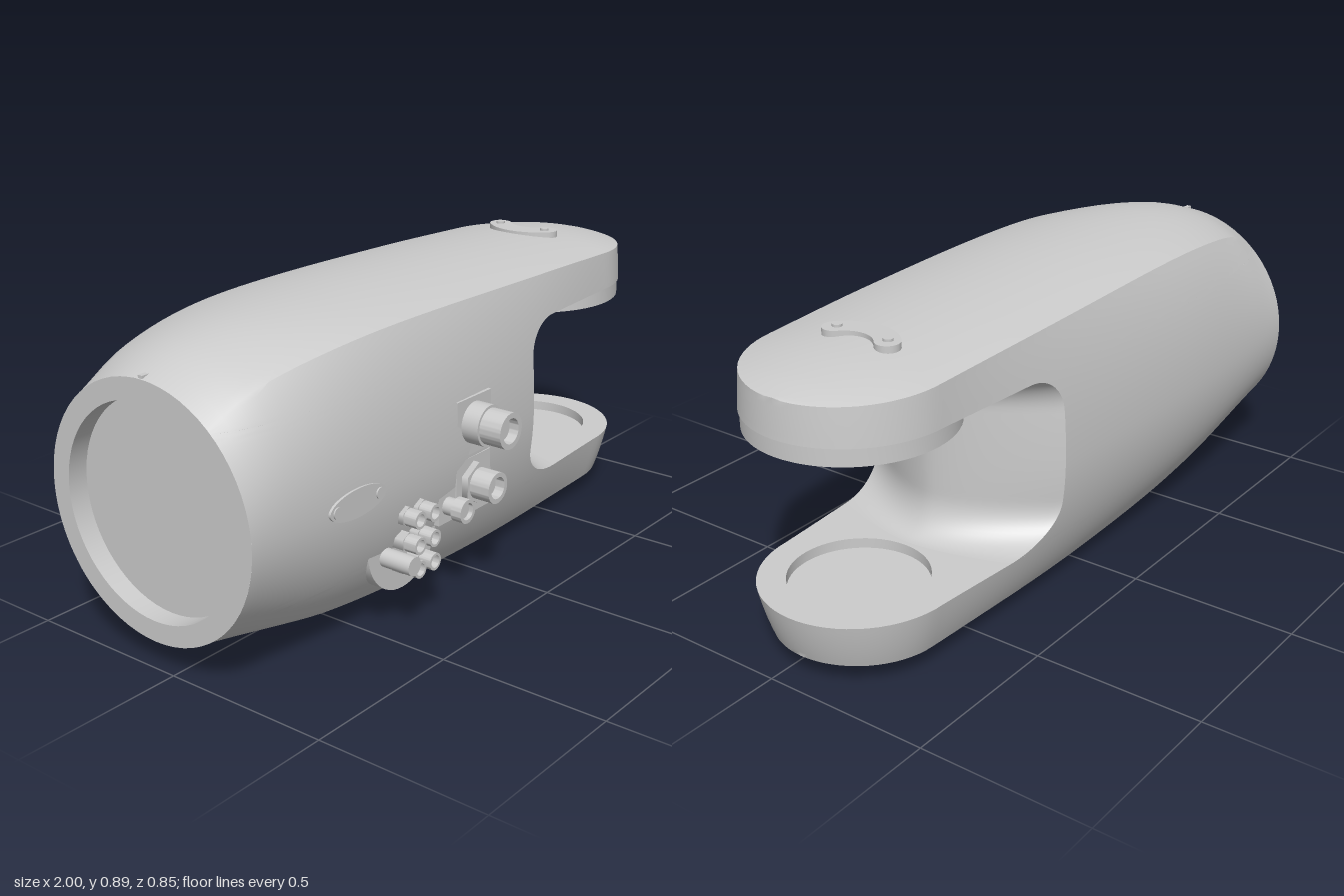
import * as THREE from 'three';
import { toCreasedNormals, mergeGeometries } from 'three/addons/utils/BufferGeometryUtils.js';

const CZ = -0.06, MID = 0.44, FLOOR = 0.2, ROOF = 0.71, PIVOT = 0.7;
const NA = 36, NB = 16, N = NA + NB;
const { lerp } = THREE.MathUtils;

// Smooth 1D curve through [x, value] pairs
function curve(...p) {
  const slope = i => {
    const a = p[Math.max(i - 1, 0)], b = p[Math.min(i + 1, p.length - 1)];
    return (b[1] - a[1]) / (b[0] - a[0]);
  };
  return x => {
    let i = 0;
    while (i < p.length - 2 && x > p[i + 1][0]) i++;
    const h = p[i + 1][0] - p[i][0], t = Math.min(Math.max((x - p[i][0]) / h, 0), 1);
    const t2 = t * t, t3 = t2 * t;
    return (2 * t3 - 3 * t2 + 1) * p[i][1] + (t3 - 2 * t2 + t) * h * slope(i)
      + (3 * t2 - 2 * t3) * p[i + 1][1] + (t3 - t2) * h * slope(i + 1);
  };
}

// Barrel section along x: silhouettes, edge heights and half widths
const topLine = curve([-1, 0.8], [-0.85, 0.85], [-0.65, 0.88], [-0.3, 0.89], [0.1, 0.885], [0.5, 0.873], [0.75, 0.86], [0.9, 0.84], [1, 0.815]);
const topEdge = curve([-1, 0.72], [-0.85, 0.785], [-0.6, 0.83], [-0.3, 0.845], [0.3, 0.837], [0.7, 0.825], [1, 0.814]);
const lowEdge = curve([-1, 0.17], [-0.6, 0.085], [0, 0.05], [0.6, 0.055], [0.95, 0.066]);
const lowLine = curve([-1, 0.08], [-0.75, 0.042], [-0.5, 0.02], [0, 0], [0.6, 0.02], [0.85, 0.045], [0.95, 0.066]);
const midHalf = curve([-1, 0.36], [-0.4, 0.367], [0.2, 0.345], [0.7, 0.3]);
const topHalf = curve([-1, 0.225], [-0.6, 0.28], [-0.2, 0.295], [0.3, 0.295], [0.7, 0.285]);
const lowHalf = curve([-1, 0.238], [-0.4, 0.25], [0.2, 0.25], [0.7, 0.24]);

function halfWidth(x, y) {
  const up = y > MID, W = midHalf(x);
  const t = (y - MID) / ((up ? topEdge(x) : lowEdge(x)) - MID);
  const k = 1 - ((up ? topHalf(x) : lowHalf(x)) / W) ** 2;
  return W * Math.sqrt(Math.max(1 - k * t * t, 0));
}

// Surface from a rule on a grid; du x dv points outward
function grid(nu, nv, rule) {
  const pos = [], idx = [];
  for (let v = 0; v <= nv; v++) for (let u = 0; u <= nu; u++) pos.push(...rule(u, v));
  for (let v = 0; v < nv; v++) for (let u = 0; u < nu; u++) {
    const a = v * (nu + 1) + u, d = a + nu + 1;
    idx.push(a, a + 1, d + 1, a, d + 1, d);
  }
  const g = new THREE.BufferGeometry();
  g.setAttribute('position', new THREE.Float32BufferAttribute(pos, 3));
  g.setIndex(idx);
  return g.toNonIndexed();
}

// Outline of a fork layer: side run, then a rounded end
function plate(j, heightAt) {
  let x, z;
  if (j <= NA) {
    x = lerp(-1, PIVOT, j / NA);
    z = halfWidth(x, heightAt(x));
  } else {
    const a = (j - NA) / NB * Math.PI / 2, w = halfWidth(PIVOT, heightAt(PIVOT));
    x = PIVOT + (w + 0.007) * Math.sin(a);
    z = j === N ? 0 : w * Math.cos(a);
  }
  return [x, heightAt(x), z];
}

// Outline of a slot layer: side run, then the ridged inner wall with filleted ends
function slot(j, y) {
  const t = Math.max((y - 0.6) / 0.11, (0.32 - y) / 0.12, 0);
  const f = 1 - Math.sqrt(Math.max(1 - t * t, 0)), up = y > MID;
  const corner = 0.235 + f * (up ? 0.13 : 0.19), ridge = 0.41 + f * (up ? 0.16 : 0.09);
  if (j <= NA) {
    const x = lerp(-1, corner, j / NA);
    return [x, y, halfWidth(x, y)];
  }
  const s = 1 - (j - NA) / NB;
  return [lerp(ridge, corner, s ** 1.6), y, halfWidth(corner, y) * s];
}

// Mirror a half outline into a full loop
const around = half => i => {
  const [x, y, z] = half(Math.min(i, 2 * N - i));
  return [x, y, i > N ? -z : z];
};
const lowY = t => x => lerp(lowEdge(x), FLOOR, t);
const highY = t => x => lerp(ROOF, topEdge(x), t);

// Flat face between slot wall and fork outline
function forkFace(y, outline, holeRadius) {
  const wall = around(j => slot(j, y)), pts = [];
  for (let i = NA; i <= 2 * N - NA; i++) pts.push(wall(i));
  const corner = pts[0][0];
  for (let i = 2 * N; i >= 0; i--) {
    const p = around(outline)(i);
    if (p[0] > corner + 0.005) pts.push(p);
  }
  const s = new THREE.Shape(pts.map(p => new THREE.Vector2(p[0], p[2])));
  if (holeRadius) s.holes.push(new THREE.Path().absarc(0.71, 0, holeRadius, 0, Math.PI * 2, true));
  return new THREE.ShapeGeometry(s, 32);
}

export function createModel() {
  const root = new THREE.Group();
  const mat = new THREE.MeshStandardMaterial({ color: 0xcccccc, side: THREE.DoubleSide });
  const add = (name, geo, x = 0, y = 0, z = 0, parent = root) => {
    const m = new THREE.Mesh(geo, mat);
    m.name = name;
    m.position.set(x, y, z);
    parent.add(m);
    return m;
  };

  // Shell: lower fork, slotted middle, upper fork and two crowned caps
  const cap = (heightAt, line, dir) => grid(N, 20, (j, k) => {
    const [x, y, z] = plate(j, heightAt), s = dir * (1 - k / 10);
    return [x, y + (line(x) - y) * (1 - s * s), z * s];
  });
  const shell = mergeGeometries([
    grid(2 * N, 8, (i, l) => around(j => plate(j, lowY(l / 8)))(i)),
    grid(2 * N, 40, (i, l) => around(j => slot(j, lerp(FLOOR, ROOF, (1 - Math.cos(l / 40 * Math.PI)) / 2)))(i)),
    grid(2 * N, 6, (i, l) => around(j => plate(j, highY(l / 6)))(i)),
    cap(highY(1), topLine, 1),
    cap(lowY(0), lowLine, -1),
  ]);
  add('armShell', toCreasedNormals(shell, 0.45), 0, 0, CZ);
  add('lowerForkFace', forkFace(FLOOR, j => plate(j, lowY(1)), 0.195).rotateX(-Math.PI / 2), 0, FLOOR, CZ);
  add('upperForkFace', forkFace(ROOF, j => plate(j, highY(0))).rotateX(Math.PI / 2), 0, ROOF, CZ);

  // Joint seats: recess in the lower fork, ring boss under the upper fork
  const lathe = pts => toCreasedNormals(
    new THREE.LatheGeometry(pts.map(p => new THREE.Vector2(...p)), 64).toNonIndexed(), 0.5);
  add('lowerSeat', lathe([[0, -0.03], [0.195, -0.03], [0.195, 0]]), 0.71, FLOOR, CZ);
  add('upperBoss', lathe([[0, 0.03], [0.195, 0.03], [0.195, 0], [0.285, 0], [0.285, 0.06]]), 0.71, 0.66, CZ);

  // Round open end with a recessed floor
  const end = add('endRing', new THREE.RingGeometry(0.3, 0.36, 64), -1, MID, CZ);
  end.rotation.y = -Math.PI / 2;
  add('endRecess', new THREE.CylinderGeometry(0.3, 0.3, 0.06, 64, 1, true).rotateX(Math.PI / 2), 0, 0, -0.03, end);
  add('endFloor', new THREE.CircleGeometry(0.3, 64), 0, 0, -0.06, end);
  add('endKey', new THREE.BoxGeometry(0.045, 0.012, 0.015), -0.975, 0.803, CZ);

  // Crescent cover on the upper fork, with two screws
  const c = new THREE.Shape(), a0 = Math.PI - 0.87, a1 = Math.PI + 0.87, r = 0.115, w = 0.035;
  c.absarc(0, 0, r + w, a0, a1, false);
  c.absarc(r * Math.cos(a1), r * Math.sin(a1), w, a1, a1 + Math.PI, false);
  c.absarc(0, 0, r - w, a1, a0, true);
  c.absarc(r * Math.cos(a0), r * Math.sin(a0), w, a0 + Math.PI, a0 + 2 * Math.PI, false);
  const crescent = new THREE.ExtrudeGeometry(c, { depth: 0.035, bevelEnabled: false, curveSegments: 20 });
  add('crescentCover', crescent.rotateX(-Math.PI / 2), 0.74, 0.843, CZ);
  for (const s of [-1, 1])
    add('coverScrew', new THREE.CylinderGeometry(0.014, 0.014, 0.01, 16), 0.66, 0.88, CZ + s * 0.085);

  // Side fittings point toward +z, from z0 to z1
  const peg = (name, x, y, rad, z0, z1, sides = 32) =>
    add(name, new THREE.CylinderGeometry(rad, rad, z1 - z0, sides).rotateX(Math.PI / 2), x, y, (z0 + z1) / 2);
  const socket = (name, x, y, rad, z0, z1) => {
    const p = [[rad, 0], [rad, z1 - z0], [rad * 0.7, z1 - z0], [rad * 0.7, (z1 - z0) * 0.6], [0, (z1 - z0) * 0.6]];
    add(name, lathe(p).rotateX(Math.PI / 2), x, y, z0);
  };

  // Round panel with small hose fittings
  peg('roundPanel', -0.39, 0.25, 0.147, 0.1, 0.276, 48);
  for (const x of [-0.41, -0.345]) for (const y of [0.185, 0.255, 0.33]) {
    peg('fittingBase', x, y, 0.03, 0.27, 0.315, 6);
    socket('fitting', x, y, 0.025, 0.3, 0.355);
  }
  peg('plugFitting', -0.463, 0.22, 0.027, 0.27, 0.375);

  // Square plates with large connectors, and a small one beside them
  for (const y of [0.5, 0.32])
    add('connectorPlate', new THREE.BoxGeometry(0.16, 0.17, 0.06), -0.095, y, 0.27);
  add('sidePlate', new THREE.BoxGeometry(0.09, 0.11, 0.05), -0.205, 0.295, 0.27);
  peg('connectorCollar', -0.095, 0.508, 0.061, 0.28, 0.355);
  socket('connector', -0.095, 0.508, 0.053, 0.35, 0.425);
  peg('hexNut', -0.095, 0.328, 0.063, 0.28, 0.32, 6);
  socket('connector', -0.095, 0.328, 0.046, 0.31, 0.385);
  peg('fittingBase', -0.21, 0.29, 0.026, 0.27, 0.34);
  socket('fitting', -0.21, 0.29, 0.035, 0.33, 0.365);

  // Oval side cover with two screws
  const oval = peg('ovalCover', -0.615, 0.44, 0.04, 0.28, 0.312, 48);
  oval.scale.x = 2.8;
  for (const x of [-0.7, -0.53]) peg('ovalScrew', x, 0.44, 0.016, 0.3, 0.316, 20);
  return root;
}
